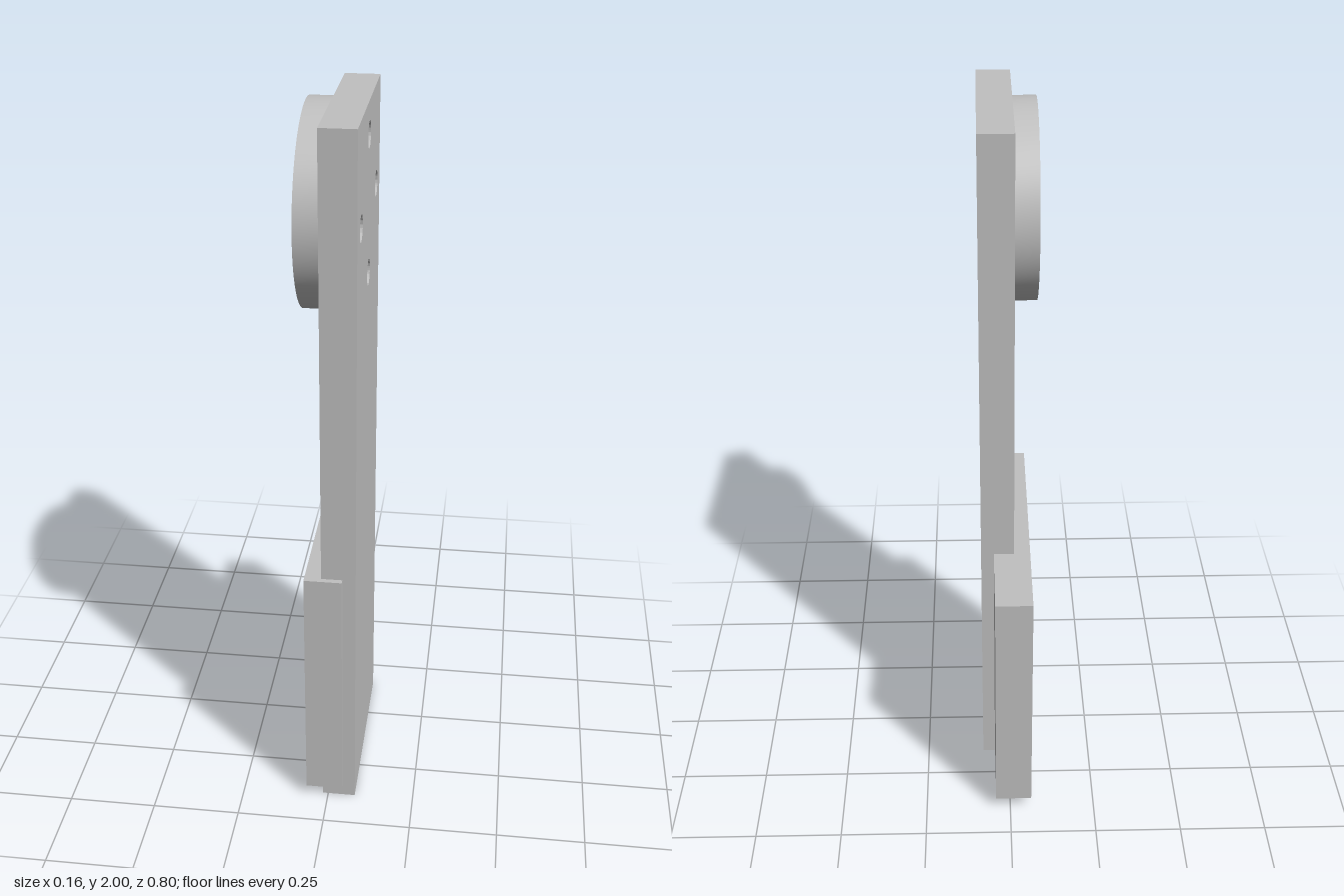
import * as THREE from 'three';
import { toCreasedNormals } from 'three/addons/utils/BufferGeometryUtils.js';

const DISC_Y = 1.73, DISC_Z = 0.115, DISC_R = 0.27;
const BOLT_CIRCLE = 0.183, HOLE_R = 0.035;

// Four bolt holes around the disc centre (shape x is -z)
function addBoltHoles(shape) {
  for (let i = 0; i < 4; i++) {
    const a = i * Math.PI / 2;
    const hole = new THREE.Path();
    hole.absarc(-DISC_Z + BOLT_CIRCLE * Math.cos(a), DISC_Y + BOLT_CIRCLE * Math.sin(a), HOLE_R, 0, Math.PI * 2, true);
    shape.holes.push(hole);
  }
}

// Extrude a side profile along x, from x0 to x1
function slab(shape, x0, x1) {
  const geo = new THREE.ExtrudeGeometry(shape, { depth: x1 - x0, bevelEnabled: false, curveSegments: 48 });
  geo.rotateY(Math.PI / 2);
  geo.translate(x0, 0, 0);
  return toCreasedNormals(geo, Math.PI / 6);
}

export function createModel() {
  const model = new THREE.Group();
  const greyMetal = new THREE.MeshStandardMaterial({ color: 0xc0c0c0 });
  greyMetal.name = 'greyMetal';

  const add = (name, geometry) => {
    const mesh = new THREE.Mesh(geometry, greyMetal);
    mesh.name = name;
    model.add(mesh);
    return mesh;
  };

  // Tall upright plate, drilled near the top
  const plate = new THREE.Shape();
  plate.moveTo(-0.385, 0);
  plate.lineTo(0.155, 0);
  plate.lineTo(0.155, 2);
  plate.lineTo(-0.385, 2);
  plate.closePath();
  addBoltHoles(plate);
  add('uprightPlate', slab(plate, -0.016, 0.079));

  // Round flange with matching holes
  const disc = new THREE.Shape();
  disc.absarc(-DISC_Z, DISC_Y, DISC_R, 0, Math.PI * 2, false);
  addBoltHoles(disc);
  add('roundFlange', slab(disc, -0.08, -0.016));

  // Wide block at the foot, let into the plate
  add('footBlock', new THREE.BoxGeometry(0.105, 0.722, 0.8)).position.set(-0.01, 0.397, 0);

  return model;
}
